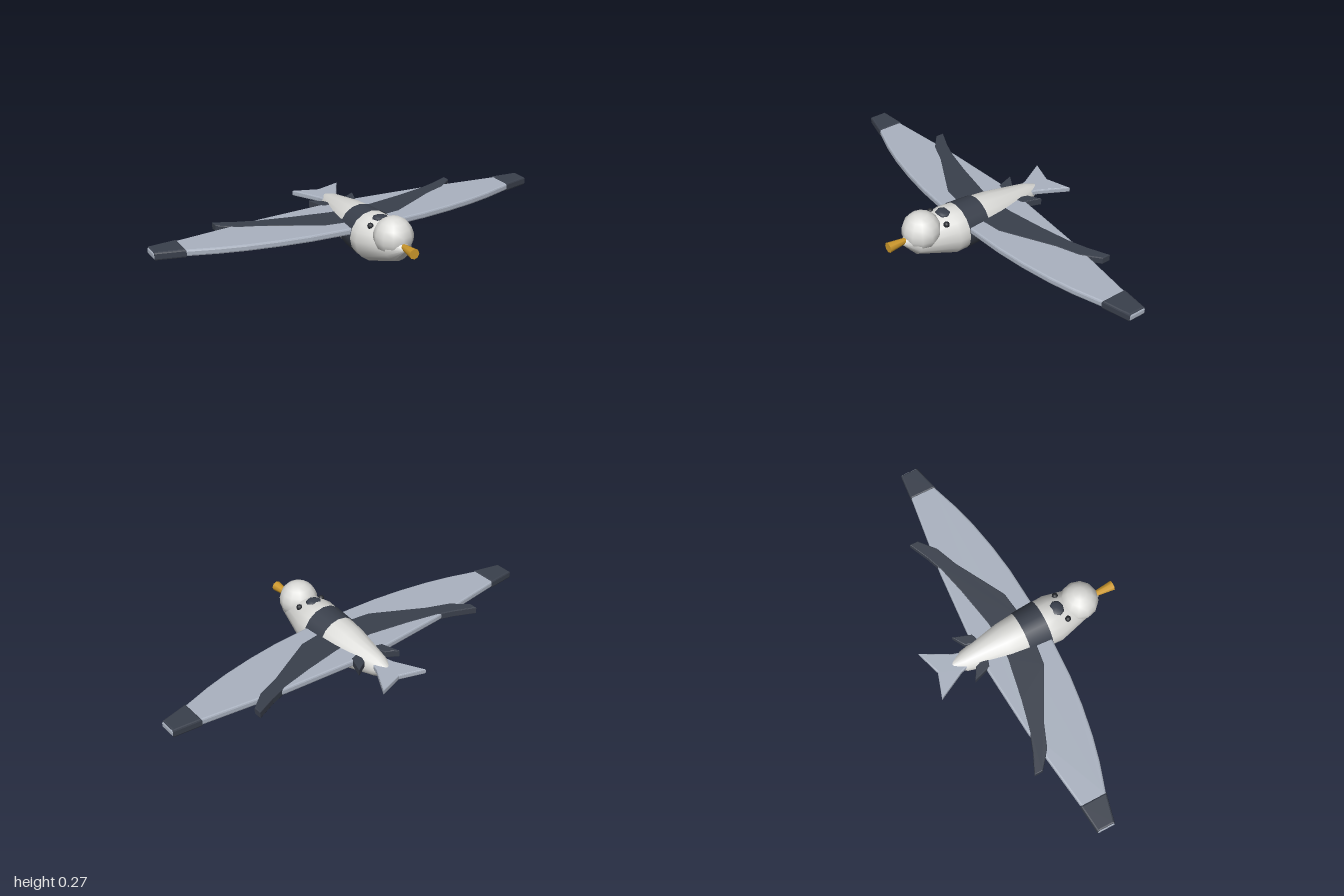
import * as THREE from 'three';

const material = (name, color, side = THREE.FrontSide) => {
  const m = new THREE.MeshStandardMaterial({ color, side });
  m.name = name;
  return m;
};

// Fuselage stations: z, centre height, radius
const STATIONS = [
  [-0.41, 0.142, 0.002], [-0.31, 0.13, 0.05], [-0.1, 0.117, 0.098], [-0.01, 0.118, 0.106],
  [0.105, 0.118, 0.113], [0.16, 0.119, 0.116], [0.35, 0.142, 0.068], [0.415, 0.15, 0.002],
];

// Lathe along z whose rings follow the station heights
function fuselage(stations, extra = 0) {
  const points = stations.map(([z, , r]) => new THREE.Vector2(r + extra, z));
  const geo = new THREE.LatheGeometry(points, 16).rotateX(Math.PI / 2);
  const pos = geo.attributes.position;
  for (let i = 0; i < pos.count; i++) {
    const z = pos.getZ(i);
    const station = stations.find((s) => Math.abs(s[0] - z) < 1e-4);
    pos.setY(i, pos.getY(i) + station[1]);
  }
  return geo;
}

// Horizontal bevelled plate from an outline of [x, z] points
function plate(outline, y0, y1, bevel) {
  const shape = new THREE.Shape(outline.map(([x, z]) => new THREE.Vector2(x, -z)));
  const geo = new THREE.ExtrudeGeometry(shape, {
    depth: y1 - y0 - 2 * bevel, bevelEnabled: true, bevelThickness: bevel,
    bevelSize: bevel, bevelOffset: -bevel, bevelSegments: 2,
  });
  return geo.rotateX(-Math.PI / 2).translate(0, y0 + bevel, 0);
}

export function createModel() {
  const model = new THREE.Group();
  const white = material('body white', 0xdcdcd9);
  const grey = material('wing grey', 0xaab2c0);
  const dark = material('dark slate', 0x3a404c);
  const gold = material('beak gold', 0xcf9a2c);
  const black = material('eye black', 0x24272d);

  const add = (name, geo, mat, x = 0, y = 0, z = 0) => {
    const mesh = new THREE.Mesh(geo, mat);
    mesh.name = name;
    mesh.position.set(x, y, z);
    model.add(mesh);
    return mesh;
  };

  // Body with its dark band
  add('body', fuselage(STATIONS), white);
  const bandMat = material('band slate', 0x3a404c, THREE.DoubleSide);
  add('bodyBand', fuselage(STATIONS.slice(3, 5), 0.003), bandMat);

  // Head, beak and crown patch
  add('head', new THREE.SphereGeometry(0.093, 12, 9), white, 0, 0.18, 0.302);
  const beakGeo = new THREE.CylinderGeometry(0.025, 0.011, 0.115, 8).rotateX(Math.PI / 2);
  add('beak', beakGeo, gold, 0, 0.16, 0.4275);
  add('napePatch', new THREE.SphereGeometry(1, 8, 6), dark, 0, 0.224, 0.18).scale.set(0.04, 0.014, 0.036);

  // Wing: leading edge right to left, then trailing edge back
  const lead = [[0.1, 0.103], [0.3, 0.092], [0.45, 0.073], [0.6, 0.045], [0.72, 0.014], [0.86, -0.032], [1, -0.067]];
  const trail = [[1, -0.148], [0.86, -0.16], [0.45, -0.212], [0.1, -0.237]];
  const half = [...lead, ...trail];
  const mirrored = half.map(([x, z]) => [-x, z]).reverse();
  add('wing', plate([...half, ...mirrored], 0.131, 0.163, 0.008), grey);

  // Tail fork
  const tail = [[0.04, -0.31], [0.05, -0.345], [0.125, -0.485], [0, -0.445],
    [-0.125, -0.485], [-0.05, -0.345], [-0.04, -0.31]];
  add('tail', plate(tail, 0.133, 0.159, 0.006), grey);

  // Outlines repeated on both sides
  const tip = [[0.86, -0.03], [0.997, -0.064], [0.997, -0.151], [0.86, -0.163]];
  const stripe = [[0.05, 0.03], [0.2, 0.01], [0.33, -0.06], [0.45, -0.125], [0.56, -0.168], [0.64, -0.235],
    [0.64, -0.277], [0.54, -0.232], [0.45, -0.2], [0.3, -0.165], [0.1, -0.128], [0.05, -0.125]];
  const spur = [[0.03, -0.2], [0.06, -0.275], [0.12, -0.31], [0.09, -0.22]];
  for (const [side, s] of [['left', 1], ['right', -1]]) {
    const flip = (outline) => outline.map(([x, z]) => [s * x, z]);
    add(side + 'WingTip', plate(flip(tip), 0.127, 0.167, 0.008), dark);
    add(side + 'WingStripe', plate(flip(stripe), 0.1295, 0.1645, 0.004), dark);
    add(side + 'RearSpur', plate(flip(spur), 0.1295, 0.1645, 0.004), dark);
    add(side + 'Eye', new THREE.SphereGeometry(0.015, 10, 8), black, s * 0.065, 0.206, 0.207);
  }
  return model;
}
